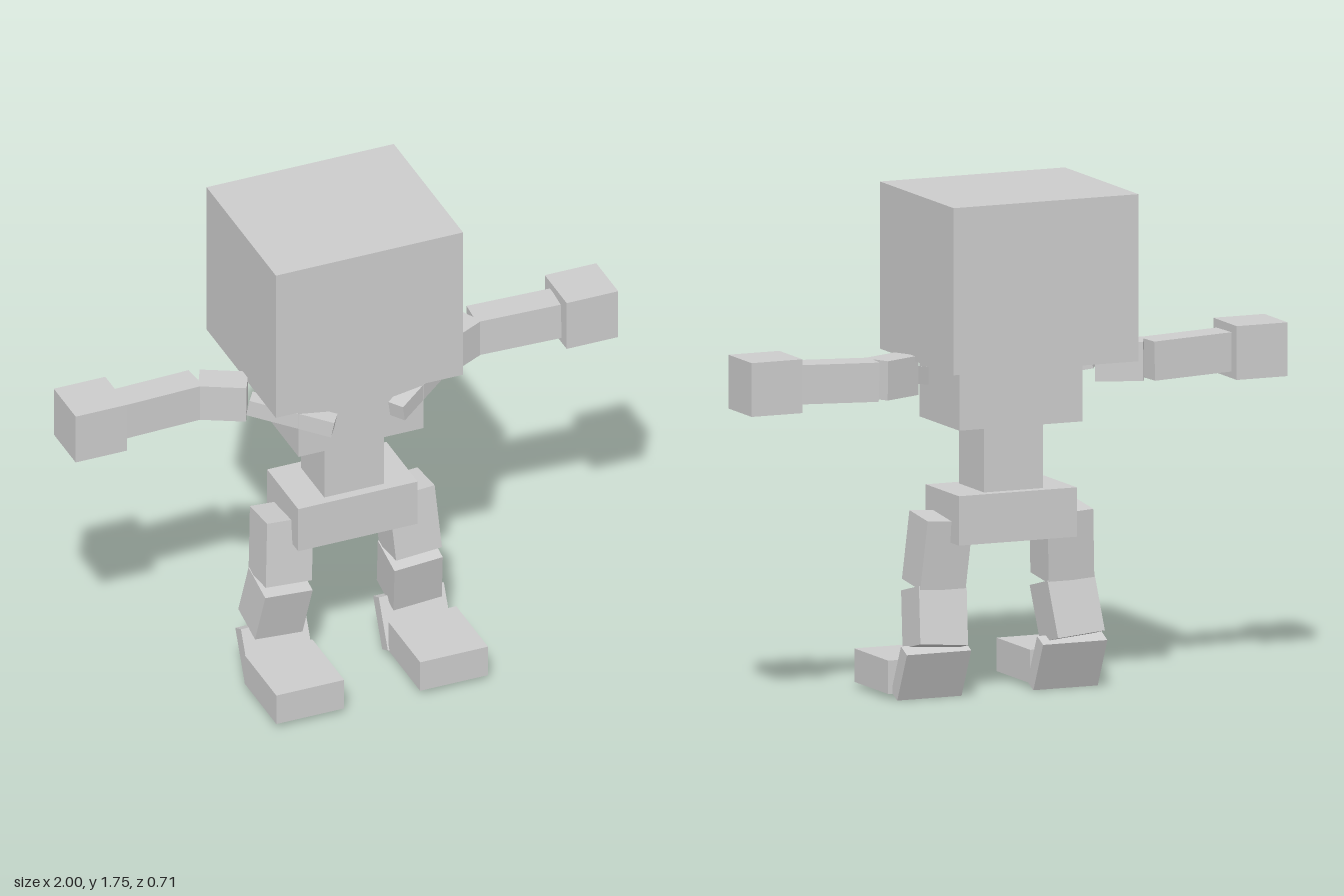
import * as THREE from 'three';

const material = new THREE.MeshStandardMaterial({ color: 0xcccccc, flatShading: true });
const AXIS_X = new THREE.Vector3(1, 0, 0);
const AXIS_Y = new THREE.Vector3(0, 1, 0);

// Axis-aligned block given by its [min, max] range on each axis
function block(name, [x0, x1], [y0, y1], [z0, z1]) {
  const mesh = new THREE.Mesh(new THREE.BoxGeometry(x1 - x0, y1 - y0, z1 - z0), material);
  mesh.position.set((x0 + x1) / 2, (y0 + y1) / 2, (z0 + z1) / 2);
  mesh.name = name;
  return mesh;
}

// Tilted block running from one end centre to the other; its width follows the across axis
function limb(name, from, to, width, depth, across) {
  const a = new THREE.Vector3(...from);
  const b = new THREE.Vector3(...to);
  const along = b.clone().sub(a);
  const length = along.length();
  along.normalize();
  const side = across.clone().addScaledVector(along, -across.dot(along)).normalize();
  const normal = side.clone().cross(along);
  const mesh = new THREE.Mesh(new THREE.BoxGeometry(width, length, depth), material);
  mesh.quaternion.setFromRotationMatrix(new THREE.Matrix4().makeBasis(side, along, normal));
  mesh.position.copy(a).add(b).multiplyScalar(0.5);
  mesh.name = name;
  return mesh;
}

export function createModel() {
  const model = new THREE.Group();
  model.name = 'blockFigure';

  // Head and trunk
  model.add(
    block('head', [-0.345, 0.345], [1.18, 1.755], [-0.355, 0.245]),
    block('chest', [-0.23, 0.23], [0.95, 1.18], [-0.15, 0.172]),
    block('waist', [-0.11, 0.11], [0.72, 0.95], [-0.09, 0.112]),
    block('hips', [-0.22, 0.22], [0.55, 0.72], [-0.125, 0.145])
  );

  for (const [label, s] of [['left', 1], ['right', -1]]) {
    const range = (a, b) => (s > 0 ? [a, b] : [-b, -a]);

    // Arm: the collarbone passes through the front corner of the chest
    const arm = new THREE.Group();
    arm.name = label + 'Arm';
    arm.add(
      limb('collarbone', [s * 0.36, 1.127, 0.05], [s * 0.115, 1.07, 0.21], 0.06, 0.06, AXIS_Y),
      limb('upperArm', [s * 0.352, 1.13, 0.013], [s * 0.5, 1.132, -0.06], 0.135, 0.105, AXIS_Y),
      limb('forearm', [s * 0.51, 1.132, -0.064], [s * 0.81, 1.14, -0.042], 0.135, 0.108, AXIS_Y),
      block('hand', range(0.81, 1), [1.05, 1.235], [-0.14, 0.05])
    );

    // Leg: bent at the knee, with a thin sloping heel behind the foot
    const leg = new THREE.Group();
    leg.name = label + 'Leg';
    leg.add(
      limb('thigh', [s * 0.224, 0.633, 0.01], [s * 0.24, 0.394, 0.036], 0.17, 0.15, AXIS_X),
      limb('shin', [s * 0.239, 0.379, 0.037], [s * 0.256, 0.187, -0.012], 0.177, 0.15, AXIS_X),
      limb('heel', [s * 0.254, 0.182, -0.014], [s * 0.254, 0.014, 0.065], 0.24, 0.054, AXIS_X),
      block('foot', range(0.14, 0.39), [0.02, 0.135], [0.08, 0.355])
    );
    model.add(arm, leg);
  }
  return model;
}
